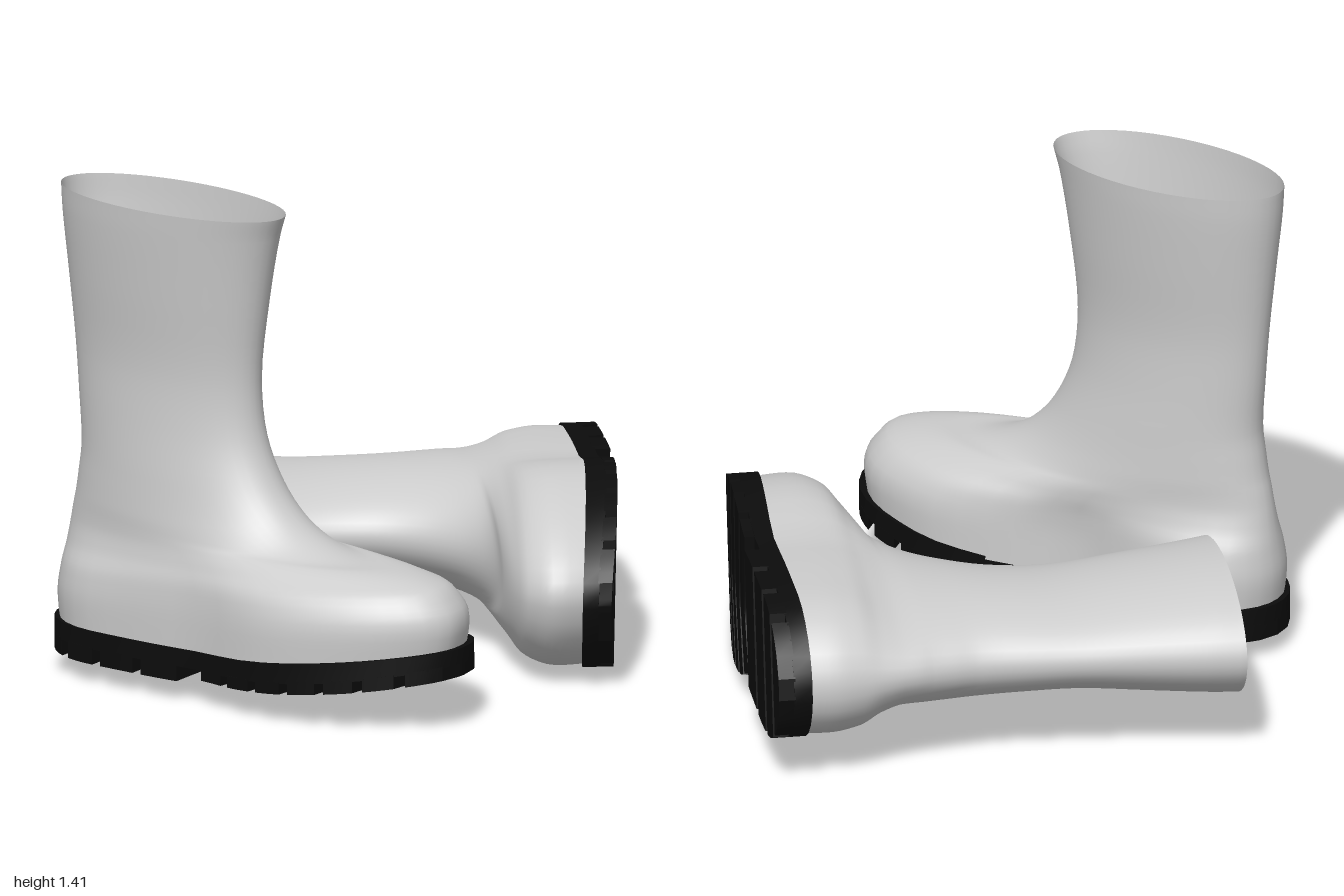
import * as THREE from 'three';
import { toCreasedNormals } from 'three/addons/utils/BufferGeometryUtils.js';

const N = 48; // points around each cross-section
const HEEL = -0.63, TOE = 0.78;
const rubber = new THREE.MeshStandardMaterial({ color: 0xcccccc, side: THREE.DoubleSide });
const black = new THREE.MeshStandardMaterial({ color: 0x0c0c0c });

// Foot outline: inner and outer half-width factors from heel (0) to toe (1)
const footWidths = new THREE.CubicInterpolant(
  [0, 0.09, 0.2, 0.34, 0.447, 0.553, 0.66, 0.766, 0.872, 0.943, 1],
  [0.34, 0.34, 0.315, 0.31, 0.26, 0.26, 0.195, 0.235, 0.173, 0.23, 0.226, 0.272,
    0.272, 0.298, 0.319, 0.3, 0.35, 0.293, 0.39, 0.28, 0.42, 0.28], 2);
const footWidth = (u, outer) => footWidths.evaluate(THREE.MathUtils.clamp(u, 0, 1))[outer ? 1 : 0];
const centreZ = x => 0.12 * (x + 0.1);

// Heights of the sole along the foot, with the toe springing up
const spring = x => THREE.MathUtils.clamp((x + 0.05) / 0.83, 0, 1);
const soleTop = x => 0.145 + 0.08 * spring(x) ** 1.5;
const soleBase = x => 0.092 + 0.088 * spring(x) ** 2;
const treadBase = x => (x < -0.06 ? 0.048 : 0.063 + 0.08 * spring(x) ** 2);

// Skin a stack of closed rings, each an array of [x, y, z]
function loft(rings) {
  const index = [];
  for (let i = 0; i < rings.length - 1; i++) {
    for (let j = 0; j < N; j++) {
      const a = i * N + j, b = i * N + (j + 1) % N;
      index.push(a, b, b + N, a, b + N, a + N);
    }
  }
  const geo = new THREE.BufferGeometry();
  geo.setAttribute('position', new THREE.Float32BufferAttribute(rings.flat(2), 3));
  geo.setIndex(index);
  geo.computeVertexNormals();
  return geo;
}

// One ring: point(u, s, outer), u from back to front, s the signed sine around the ring
function ring(point) {
  return Array.from({ length: N }, (_, j) => {
    const a = (j / N) * Math.PI * 2;
    return point(0.5 - 0.5 * Math.cos(a), Math.sin(a), Math.sin(a) > 0);
  });
}

// Upper: sections hinged between a back line (x, y, shaft half-width)
// and a front line (x, y, share of the foot outline)
function upperGeometry() {
  const back = [
    [-0.61, 0.12, 0.2], [-0.62, 0.22, 0.2], [-0.61, 0.3, 0.2], [-0.6, 0.36, 0.195],
    [-0.59, 0.42, 0.19], [-0.58, 0.47, 0.185], [-0.57, 0.51, 0.18], [-0.56, 0.57, 0.172],
    [-0.55, 0.65, 0.163], [-0.56, 0.8, 0.15], [-0.573, 0.95, 0.145], [-0.595, 1.15, 0.165],
    [-0.615, 1.32, 0.182], [-0.62, 1.4, 0.187]];
  const front = [
    [0.745, 0.17, 0.95], [0.765, 0.28, 0.95], [0.73, 0.355, 0.75], [0.65, 0.4, 0.3],
    [0.53, 0.42, 0.05], [0.41, 0.425, 0], [0.31, 0.455, 0], [0.22, 0.51, 0],
    [0.14, 0.6, 0], [0.08, 0.73, 0], [0.06, 0.9, 0], [0.085, 1.13, 0],
    [0.12, 1.32, 0], [0.14, 1.385, 0]];
  const curve = pts => new THREE.CatmullRomCurve3(pts.map(p => new THREE.Vector3(...p)));
  const backCurve = curve(back), frontCurve = curve(front);
  const steps = 52, rings = [];
  for (let i = 0; i <= steps; i++) {
    const b = backCurve.getPoint(i / steps), f = frontCurve.getPoint(i / steps);
    const k = THREE.MathUtils.clamp(f.z, 0, 1);
    rings.push(ring((u, s, outer) => {
      const x = THREE.MathUtils.lerp(b.x, f.x, u);
      const width = THREE.MathUtils.lerp(b.z, footWidth(u, outer), k);
      return [x, THREE.MathUtils.lerp(b.y, f.y, u), centreZ(x) + s * width];
    }));
  }
  return loft(rings);
}

// Sole slab: closed underneath and on top, so it also shows as the insole
function soleGeometry() {
  const layer = (height, spread) => ring((u, s, outer) => {
    const x = THREE.MathUtils.lerp(HEEL, TOE, u);
    return [x, height(x), centreZ(x) + s * footWidth(u, outer) * spread];
  });
  return toCreasedNormals(
    loft([layer(soleBase, 0), layer(soleBase, 1), layer(soleTop, 1), layer(soleTop, 0)]), 0.7);
}

// Tread lug: a box bent into a chevron and fitted to the foot outline
function lugGeometry(x0, x1, chevron) {
  const geo = new THREE.BoxGeometry(1, 1, 1, 4, 1, 10);
  const p = geo.attributes.position;
  for (let i = 0; i < p.count; i++) {
    const side = p.getZ(i) * 2;
    const bend = chevron * (1 - Math.abs(side));
    const x = Math.min(THREE.MathUtils.lerp(x0, x1, p.getX(i) + 0.5) + bend, TOE - 0.003);
    const u = THREE.MathUtils.clamp((x - HEEL) / (TOE - HEEL), 0, 1);
    const half = 2 * Math.sqrt(u * (1 - u)) * footWidth(u, side > 0);
    const y = p.getY(i) < 0 ? treadBase(x) : soleBase(x) + 0.005;
    p.setXYZ(i, x, y, centreZ(x) + side * half);
  }
  geo.computeVertexNormals();
  return geo;
}

// Mirror across z, turning the faces back outward
function mirrorZ(geo) {
  geo.scale(1, 1, -1);
  const src = geo.index ? geo.index.array : Array.from({ length: geo.attributes.position.count }, (_, i) => i);
  const index = [];
  for (let i = 0; i < src.length; i += 3) index.push(src[i], src[i + 2], src[i + 1]);
  geo.setIndex(index);
  return geo;
}

function makeBoot(name, mirrored) {
  const boot = new THREE.Group();
  boot.name = name;
  const add = (part, geo, material) => {
    const mesh = new THREE.Mesh(mirrored ? mirrorZ(geo) : geo, material);
    mesh.name = part;
    boot.add(mesh);
  };
  add('upper', upperGeometry(), rubber);
  add('sole', soleGeometry(), black);
  // heel lugs
  [[-0.627, -0.53], [-0.5, -0.4], [-0.37, -0.25], [-0.22, -0.09]].forEach(([a, b], i) =>
    add('heelLug' + (i + 1), lugGeometry(a, b, 0), black));
  // forefoot lugs
  for (let i = 0; i < 7; i++) {
    const x = 0.0 + i * 0.112;
    add('forefootLug' + (i + 1), lugGeometry(x, x + 0.084, 0.04), black);
  }
  return boot;
}

export function createModel() {
  const model = new THREE.Group();
  model.name = 'rubberBoots';

  const standing = makeBoot('standingBoot', false);
  standing.position.set(0, 0, 0.66);

  // The other boot lies on its side, the toe dipping slightly
  const fallen = makeBoot('fallenBoot', true);
  const dip = THREE.MathUtils.degToRad(10), c = Math.cos(dip), s = Math.sin(dip);
  const toe = new THREE.Vector3(0.6 * c, -s, 0.8 * c);
  const up = new THREE.Vector3(-0.8, 0, 0.6);
  const inner = new THREE.Vector3().crossVectors(toe, up);
  fallen.quaternion.setFromRotationMatrix(new THREE.Matrix4().makeBasis(toe, up, inner));
  fallen.position.set(0.577, 0.27, -0.528);

  model.add(standing, fallen);
  return model;
}
